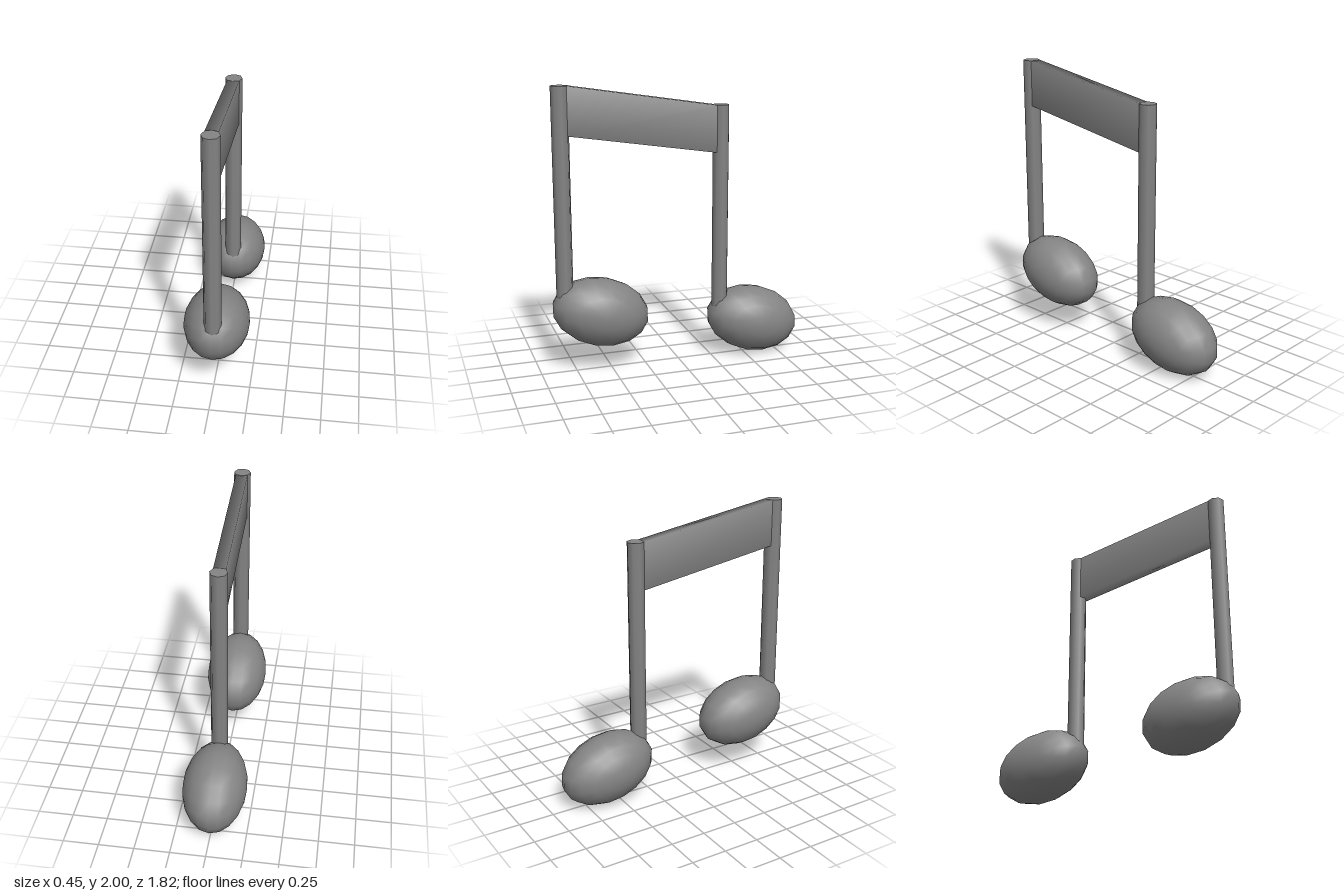
import * as THREE from 'three';
import { mergeVertices } from 'three/addons/utils/BufferGeometryUtils.js';

const material = new THREE.MeshStandardMaterial({ color: 0x848484 });
const STEM_X = 0.006, STEM_R = 0.0595;

function addMesh(group, name, geometry) {
  const mesh = new THREE.Mesh(geometry, material);
  mesh.name = name;
  group.add(mesh);
  return mesh;
}

// One note: a tilted oval head with an eight-sided stem at its front end
function createNote(name, headY, headZ, stemZ, topY) {
  const note = new THREE.Group();
  note.name = name;

  const oval = new THREE.SphereGeometry(1, 16, 10);
  oval.rotateZ(Math.PI / 2).scale(0.226, 0.242, 0.35);
  const head = addMesh(note, 'noteHead', oval);
  head.position.set(0, headY, headZ);
  head.rotation.x = -0.26;

  const bottomY = headY + 0.06;
  const stem = addMesh(note, 'stem', new THREE.CylinderGeometry(STEM_R, STEM_R, topY - bottomY, 8));
  stem.position.set(STEM_X, (topY + bottomY) / 2, stemZ);
  return note;
}

export function createModel() {
  const model = new THREE.Group();
  model.name = 'beamedNotes';
  model.add(createNote('frontNote', 0.42, 0.57, 0.822, 2));
  model.add(createNote('backNote', 0.252, -0.57, -0.312, 1.838));

  // Sloping beam: a box sheared in y so its ends stay vertical inside the stems
  const box = new THREE.BoxGeometry(STEM_R * Math.SQRT2, 0.33, 1.05);
  box.applyMatrix4(new THREE.Matrix4().set(
    1, 0, 0, STEM_X,
    0, 1, 0.162 / 1.05, 1.753,
    0, 0, 1, 0.255,
    0, 0, 0, 1));
  // Shared corners give the beam soft shading across its narrow top and bottom
  box.deleteAttribute('uv');
  box.deleteAttribute('normal');
  const beam = mergeVertices(box);
  beam.computeVertexNormals();
  addMesh(model, 'beam', beam);
  return model;
}
